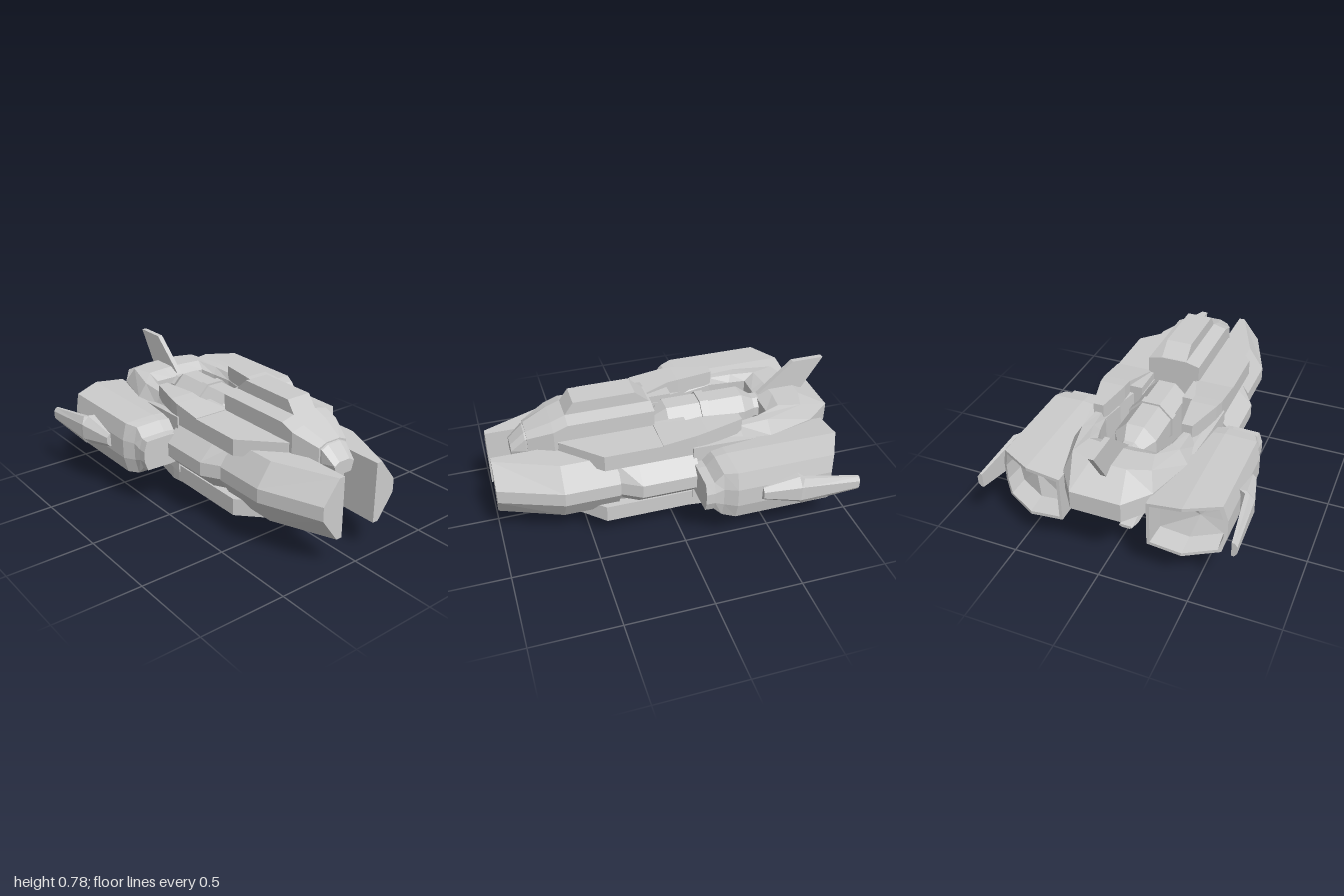
import * as THREE from 'three';

const material = new THREE.MeshStandardMaterial({ color: 0xcccccc, flatShading: true });

// Skin a row of closed rings, cap both ends, and turn all faces outward.
function loft(rings) {
  const n = rings[0].length, tris = [];
  for (let i = 0; i < rings.length - 1; i++) {
    for (let j = 0; j < n; j++) {
      const k = (j + 1) % n, a = rings[i], b = rings[i + 1];
      tris.push([a[j], a[k], b[k]], [a[j], b[k], b[j]]);
    }
  }
  const cap = (ring, flip) => {
    const c = [0, 1, 2].map(d => ring.reduce((s, p) => s + p[d], 0) / n);
    for (let j = 0; j < n; j++) {
      const k = (j + 1) % n;
      tris.push(flip ? [c, ring[k], ring[j]] : [c, ring[j], ring[k]]);
    }
  };
  cap(rings[0], true);
  cap(rings[rings.length - 1], false);
  const v = p => new THREE.Vector3(...p);
  const volume = tris.reduce((s, [a, b, c]) => s + v(a).dot(v(b).cross(v(c))), 0);
  const pos = tris.flatMap(([a, b, c]) => (volume < 0 ? [a, c, b] : [a, b, c]).flat());
  const geo = new THREE.BufferGeometry();
  geo.setAttribute('position', new THREE.Float32BufferAttribute(pos, 3));
  geo.computeVertexNormals();
  return geo;
}

const mirror = rings => rings.map(r => r.map(([x, y, z]) => [-x, y, z]));
const at = (z, pts) => pts.map(([x, y]) => [x, y, z]);
const rect = (z, x0, x1, y0, y1) => at(z, [[x0, y0], [x1, y0], [x1, y1], [x0, y1]]);

export function createModel() {
  const root = new THREE.Group();
  const add = (name, geo) => {
    const mesh = new THREE.Mesh(geo, material);
    mesh.name = name;
    root.add(mesh);
    return mesh;
  };
  const pair = (name, rings) => {
    add('left' + name, loft(rings));
    add('right' + name, loft(mirror(rings)));
  };

  // Hull halves with a pointed side ridge, either side of the central slot
  const ridge = (z, x, mid) => at(z, [[0.12, 0.19], [mid, 0.19], [x, 0.33], [x, 0.41], [mid, 0.55], [0.12, 0.55]]);
  pair('Hull', [ridge(-0.1, 0.44, 0.3), ridge(0.23, 0.44, 0.3), ridge(0.4, 0.34, 0.27), ridge(0.5, 0.26, 0.2)]);

  // Deck and belly plates with chamfered front corners
  const plate = (y0, y1) => [
    rect(-0.1, 0.125, 0.36, y0, y1), rect(0.42, 0.125, 0.36, y0, y1), rect(0.63, 0.125, 0.16, y0, y1)];
  pair('DeckPlate', plate(0.5, 0.595));
  pair('BellyPlate', plate(0.14, 0.24));

  // Forward prongs
  const prong = (z, mid, x) => at(z, [[0.115, 0.19], [mid, 0.19], [x, 0.33], [x, 0.41], [mid, 0.54], [0.115, 0.54]]);
  pair('Prong', [prong(0.34, 0.295, 0.385), prong(0.65, 0.295, 0.385), prong(1, 0.15, 0.25)]);

  // Rails running back from the plates, and the walls behind them
  pair('UpperRail', [
    rect(0.09, 0.14, 0.36, 0.54, 0.6), rect(-0.1, 0.2, 0.36, 0.54, 0.625),
    rect(-0.17, 0.2, 0.35, 0.54, 0.632), rect(-0.39, 0.23, 0.29, 0.54, 0.632)]);
  pair('LowerRail', [
    rect(-0.06, 0.14, 0.36, 0.14, 0.24), rect(-0.17, 0.2, 0.35, 0.12, 0.2), rect(-0.39, 0.23, 0.29, 0.1, 0.14)]);
  pair('ArmWall', [rect(-0.08, 0.17, 0.37, 0.2, 0.55), rect(-0.25, 0.22, 0.36, 0.22, 0.54), rect(-0.55, 0.23, 0.32, 0.25, 0.5)]);

  // Horseshoe arch: inner edge, crest, outer bevel and underside at each station
  const arch = (ix, iz, cx, cz, ox, oz, top, low) => [
    [ix, top - 0.04, iz], [(ix * 2 + cx) / 3, top, (iz * 2 + cz) / 3], [cx, top, cz],
    [ox, low + 0.13, oz], [ox, low + 0.02, oz], [cx, low, cz], [ix, low, iz]];
  const half = [
    arch(0.2, -0.1, 0.3, -0.1, 0.35, -0.1, 0.55, 0.38),
    arch(0.225, -0.38, 0.28, -0.38, 0.31, -0.4, 0.58, 0.38),
    arch(0.2, -0.5, 0.28, -0.55, 0.33, -0.56, 0.59, 0.38),
    arch(0.17, -0.59, 0.22, -0.78, 0.25, -0.84, 0.605, 0.38),
    arch(0.06, -0.59, 0.1, -0.82, 0.14, -0.99, 0.605, 0.39)];
  add('rearArch', loft([...half, ...mirror(half).reverse()]));

  // Cockpit: arched roof, sloped canopy and a small nose
  const cabin = (z, w, top, low) => at(z, [
    [-w * 0.75, low], [w * 0.75, low], [w, low + 0.06], [w, top - 0.02], [w * 0.5, top],
    [-w * 0.5, top], [-w, top - 0.02], [-w, low + 0.06]]);
  add('cockpit', loft([
    cabin(0.08, 0.155, 0.71, 0.23), cabin(0.57, 0.155, 0.71, 0.23),
    cabin(0.65, 0.155, 0.68, 0.24), cabin(0.79, 0.095, 0.625, 0.3)]));
  add('nose', loft([cabin(0.76, 0.085, 0.625, 0.46), cabin(0.8, 0.085, 0.615, 0.46), cabin(0.88, 0.07, 0.545, 0.47)]));
  add('roofBlock', loft([
    rect(0.09, -0.075, 0.075, 0.69, 0.71), rect(0.17, -0.075, 0.075, 0.69, 0.78),
    rect(0.52, -0.075, 0.075, 0.69, 0.78), rect(0.57, -0.075, 0.075, 0.69, 0.71)]));

  // Capsule held in the slot, with its collar
  const capsule = [[0, -0.6], [0.075, -0.6], [0.075, -0.56], [0.13, -0.48], [0.13, -0.27], [0.142, -0.27],
    [0.142, -0.22], [0.13, -0.22], [0.13, -0.02], [0.05, 0.08], [0, 0.08]].map(p => new THREE.Vector2(...p));
  const core = add('centralCapsule', new THREE.LatheGeometry(capsule, 8, Math.PI / 8));
  core.rotation.x = Math.PI / 2;
  core.position.y = 0.5;
  add('capsuleKeel', loft([rect(0.1, -0.08, 0.08, 0.2, 0.45), rect(-0.32, -0.08, 0.08, 0.2, 0.45), rect(-0.42, -0.06, 0.06, 0.28, 0.45)]));

  // Hollow exhaust tube under the keel
  const tube = [[0, -0.36], [0.06, -0.36], [0.06, -0.565], [0.08, -0.565], [0.08, -0.42], [0.086, -0.41],
    [0.086, -0.3], [0, -0.3]].map(p => new THREE.Vector2(...p));
  const exhaust = add('exhaustTube', new THREE.LatheGeometry(tube, 20));
  exhaust.rotation.x = Math.PI / 2;
  exhaust.position.y = 0.21;

  // Swept belly fin with side cheeks
  const fin = (z, w, low, top) => at(z, [
    [-w * 0.6, low], [w * 0.6, low], [w, (low + top) / 2], [w * 0.8, top], [-w * 0.8, top], [-w, (low + top) / 2]]);
  add('bellyFin', loft([
    fin(-0.05, 0.05, 0.13, 0.22), fin(-0.3, 0.055, 0, 0.11), fin(-0.4, 0.055, 0, 0.08),
    fin(-0.58, 0.05, 0, 0.06), fin(-0.65, 0.04, 0.03, 0.05)]));
  pair('FinCheek', [rect(-0.06, 0.03, 0.085, 0.13, 0.22), rect(-0.25, 0.03, 0.085, 0.03, 0.13), rect(-0.38, 0.03, 0.07, 0.04, 0.1)]);

  // Engine pods with a neck in front and a recessed, slanted back
  const podShape = [[0.24, 0.23], [0.24, 0.5], [0.43, 0.525], [0.61, 0.52], [0.635, 0.42],
    [0.635, 0.31], [0.61, 0.215], [0.43, 0.21]];
  const scaled = (sx, sy) => podShape.map(([x, y]) => [0.435 + (x - 0.435) * sx, 0.368 + (y - 0.368) * sy]);
  const slant = (pts, dz) => pts.map(([x, y]) => [x, y, -0.91 + Math.max(0, x - 0.43) * 0.54 + dz]);
  pair('EnginePod', [
    at(-0.08, scaled(0.82, 0.58)), at(-0.13, scaled(0.82, 0.6)), at(-0.18, scaled(0.83, 0.94)),
    at(-0.25, podShape), slant(podShape, 0), slant(scaled(0.91, 0.88), 0), slant(scaled(0.86, 0.82), 0.12)]);

  // Outer winglets on the pods
  const winglet = (z, x0, x1, y0, y1) => at(z, [
    [x0, y0], [(x0 + x1) / 2, y0], [x1, y0 + (y1 - y0) * 0.25], [x1, y1 - (y1 - y0) * 0.25], [(x0 + x1) / 2, y1], [x0, y1]]);
  pair('Winglet', [
    winglet(-0.39, 0.62, 0.66, 0.33, 0.41), winglet(-0.59, 0.62, 0.71, 0.285, 0.46),
    winglet(-0.61, 0.66, 0.71, 0.287, 0.458), winglet(-0.93, 0.695, 0.725, 0.33, 0.415)]);

  // Swept tail fin
  const tail = [[-0.6, 0.58], [-0.81, 0.77], [-1, 0.77], [-0.88, 0.58]];
  add('tailFin', loft([-0.015, 0.015].map(x => tail.map(([z, y]) => [x, y, z]))));

  return root;
}
